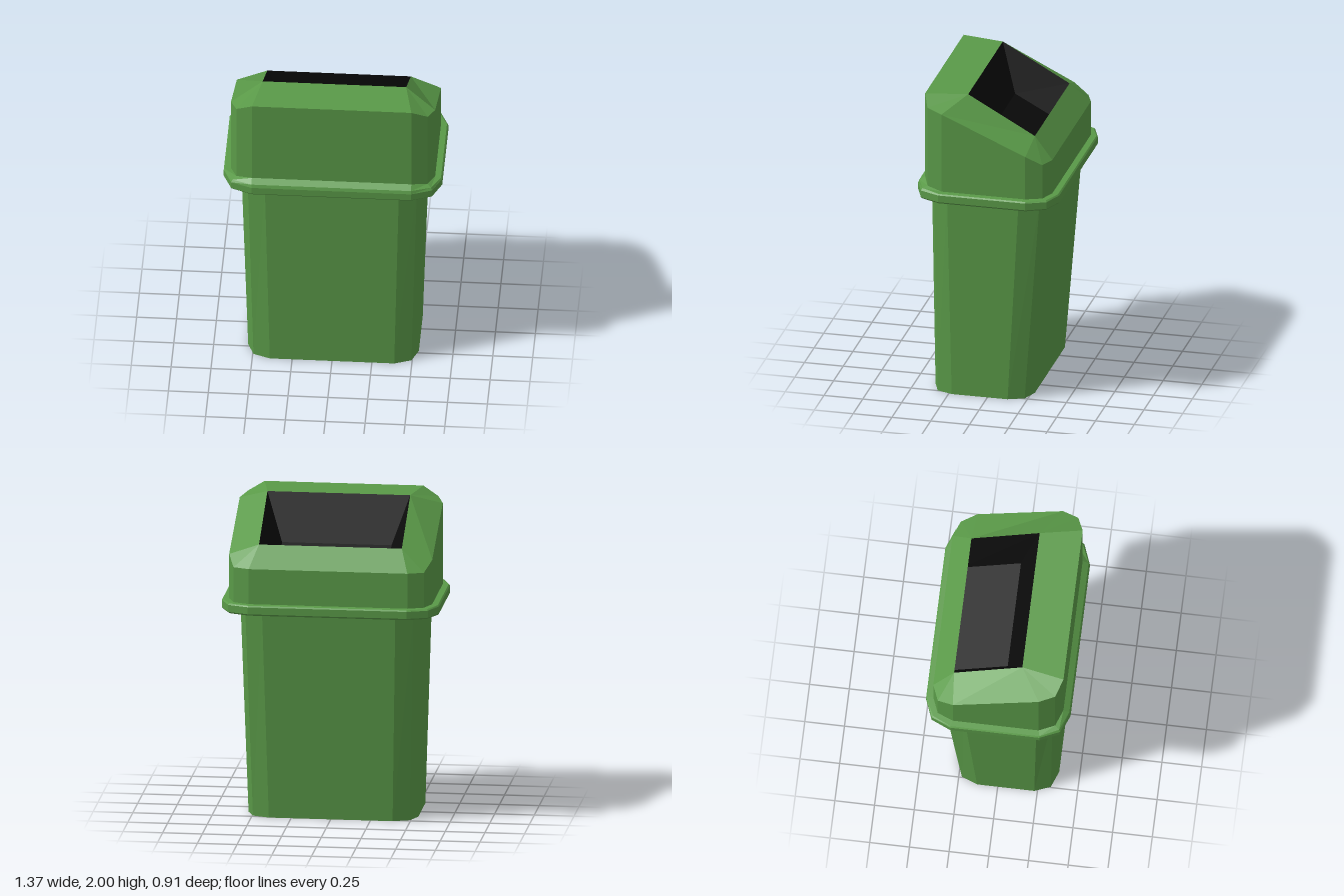
import * as THREE from 'three';

// Twelve-point rounded rectangle, counterclockwise from above.
// x, front, back: [start of corner, middle of corner, outer limit]; y: heights from front to back.
function ring(x, front, back, y) {
  const h = Array.isArray(y) ? y : Array(6).fill(y);
  const half = [
    [x[0], h[0], front[2]], [x[1], h[1], front[1]], [x[2], h[2], front[0]],
    [x[2], h[3], back[0]], [x[1], h[4], back[1]], [x[0], h[5], back[2]],
  ];
  return [...half, ...half.slice().reverse().map(([px, py, pz]) => [-px, py, pz])];
}

// Flat-shaded skin through a list of rings, with optional end caps.
function loft(rings, { capStart = false, capEnd = false } = {}) {
  const pos = [];
  const same = (a, b) => a.every((v, i) => v === b[i]);
  const tri = (a, b, c) => {
    if (!same(a, b) && !same(b, c) && !same(c, a)) pos.push(...a, ...b, ...c);
  };
  for (let r = 0; r < rings.length - 1; r++) {
    const lo = rings[r], hi = rings[r + 1];
    for (let i = 0; i < lo.length; i++) {
      const j = (i + 1) % lo.length;
      tri(lo[i], lo[j], hi[j]);
      tri(lo[i], hi[j], hi[i]);
    }
  }
  const first = rings[0], last = rings[rings.length - 1];
  for (let i = 1; i < first.length - 1; i++) {
    if (capStart) tri(first[0], first[i + 1], first[i]);
    if (capEnd) tri(last[0], last[i], last[i + 1]);
  }
  const g = new THREE.BufferGeometry();
  g.setAttribute('position', new THREE.Float32BufferAttribute(pos, 3));
  g.computeVertexNormals();
  return g;
}

export function createModel() {
  const group = new THREE.Group();
  const green = new THREE.MeshStandardMaterial({ color: 0x5a9a48, flatShading: true });
  const black = new THREE.MeshStandardMaterial({ color: 0x0b0b0b, flatShading: true });
  const add = (name, geometry, material) => {
    const mesh = new THREE.Mesh(geometry, material);
    mesh.name = name;
    group.add(mesh);
  };

  // Tapered bin, leaning out towards the back
  const binTop = ring([0.42, 0.53, 0.575], [0.25, 0.345, 0.385], [-0.21, -0.335, -0.375], 1.34);
  add('bin', loft([
    ring([0.39, 0.495, 0.535], [0.23, 0.33, 0.37], [-0.13, -0.23, -0.27], 0),
    binTop,
  ], { capStart: true }), green);

  // Rim around the foot of the lid, slightly raised at the front
  const rimRing = (d, y) => ring(
    [0.5, 0.63 - d, 0.685 - d], [0.28, 0.405 - d, 0.455 - d], [-0.28, -0.405 + d, -0.455 + d], y);
  const wallX = [0.5, 0.6, 0.64], wallF = [0.27, 0.37, 0.41], wallB = [-0.27, -0.37, -0.41];
  const lidFoot = ring(wallX, wallF, wallB, [1.44, 1.42, 1.405, 1.405, 1.405, 1.405]);
  add('rim', loft([
    binTop,
    rimRing(0.008, 1.34),
    rimRing(0, 1.35),
    rimRing(0, 1.395),
    rimRing(0.008, [1.415, 1.41, 1.403, 1.403, 1.403, 1.403]),
    lidFoot,
  ]), green);

  // Lid with a sloping top around the opening
  const opening = ring([0.45, 0.45, 0.45], [0.145, 0.145, 0.145], [-0.285, -0.285, -0.285],
    [2, 2, 2, 1.76, 1.76, 1.76]);
  add('lid', loft([
    lidFoot,
    ring(wallX, wallF, wallB, [2, 1.945, 1.925, 1.69, 1.63, 1.63]),
    opening,
  ]), green);

  // Dark well inside the opening
  add('openingWell', loft([
    opening,
    ring([0.345, 0.345, 0.345], [0.04, 0.04, 0.04], [-0.33, -0.33, -0.33],
      [1.7, 1.7, 1.7, 1.5, 1.5, 1.5]),
  ], { capEnd: true }), black);

  return group;
}
